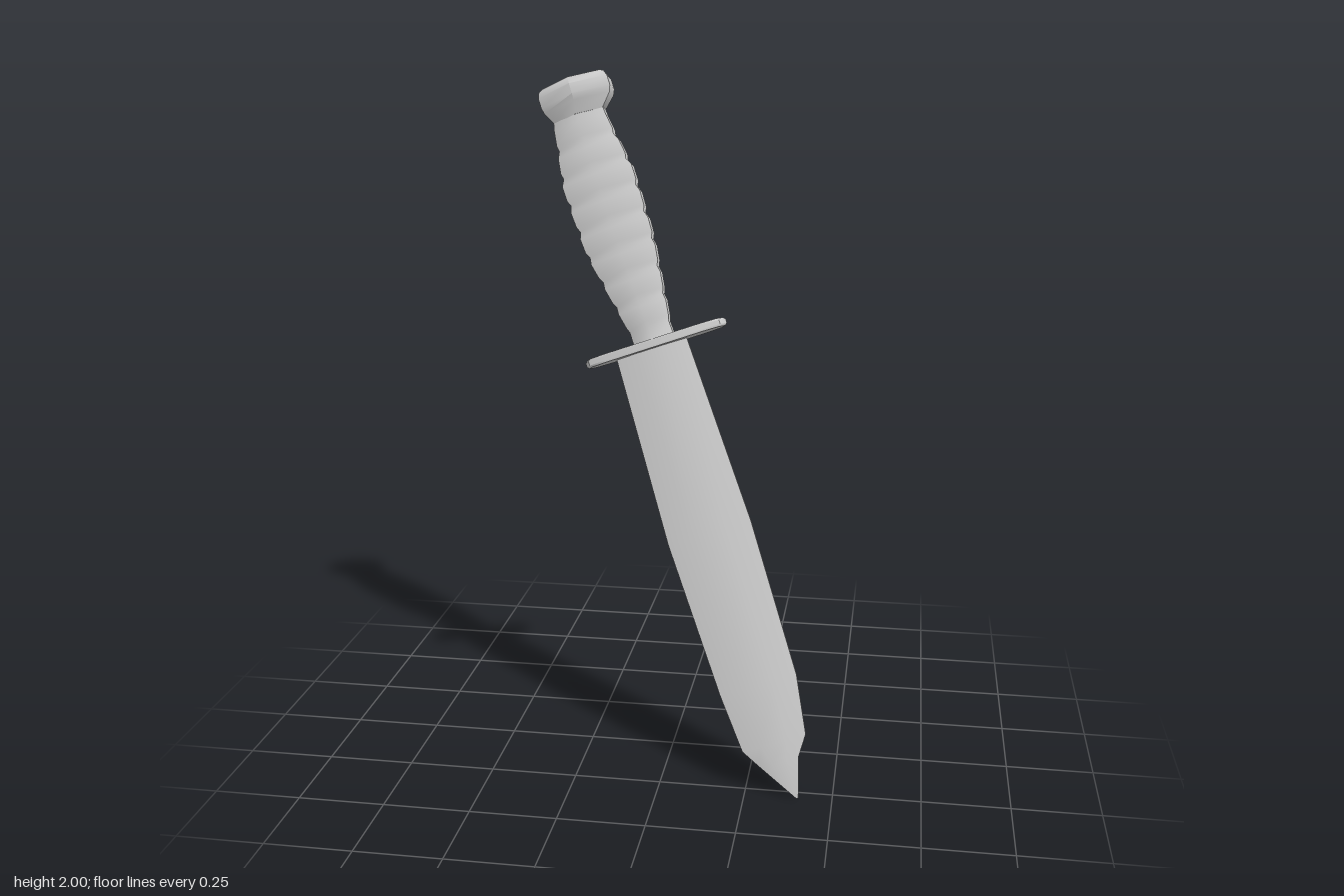
import * as THREE from 'three';
import { toCreasedNormals } from 'three/addons/utils/BufferGeometryUtils.js';

const material = new THREE.MeshStandardMaterial({ color: 0xcccccc });

// Skin a stack of closed rings (bottom to top) and cap both ends.
function loft(rings, crease) {
  const n = rings[0].length;
  const pos = rings.flat(2);
  const index = [];
  for (let r = 0; r < rings.length - 1; r++) {
    for (let i = 0; i < n; i++) {
      const j = (i + 1) % n;
      const a = r * n + i, b = r * n + j;
      index.push(a, a + n, b, b, a + n, b + n);
    }
  }
  const last = (rings.length - 1) * n;
  for (let i = 1; i < n - 1; i++) {
    index.push(0, i, i + 1);
    index.push(last, last + i + 1, last + i);
  }
  const g = new THREE.BufferGeometry();
  g.setAttribute('position', new THREE.Float32BufferAttribute(pos, 3));
  g.setIndex(index);
  return toCreasedNormals(g, crease);
}

// Stretched hexagon with points on the two broad sides.
function hexRing(y, cx, hx, hz) {
  const k = 0.42 * hz;
  return [[hx, k], [0, hz], [-hx, k], [-hx, -k], [0, -hz], [hx, -k]]
    .map(([x, z]) => [cx + x, y, z]);
}

// Linear lookup in rows of [y, ...values].
function sample(rows, y) {
  let i = 0;
  while (i < rows.length - 2 && y > rows[i + 1][0]) i++;
  const t = (y - rows[i][0]) / (rows[i + 1][0] - rows[i][0]);
  return rows[i].map((v, k) => THREE.MathUtils.lerp(v, rows[i + 1][k], t));
}

function add(parent, name, geometry) {
  const mesh = new THREE.Mesh(geometry, material);
  mesh.name = name;
  parent.add(mesh);
}

export function createModel() {
  const knife = new THREE.Group();
  knife.name = 'knife';

  // Blade: bevelled section; rows are y, one edge, other edge, half thickness.
  const bladeRows = [
    [-1.358, 0.002, 0.008, 0.002],
    [-1.245, -0.072, 0.044, 0.011],
    [-1.19, -0.107, 0.082, 0.013],
    [-1.02, -0.121, 0.107, 0.015],
    [-0.565, -0.137, 0.112, 0.015],
    [0, -0.122, 0.09, 0.015],
  ];
  const blade = bladeRows.map(([y, l, r, t]) => {
    const at = (f) => l + (r - l) * f;
    return [[r, 0.003], [at(0.7), t], [at(0.3), t], [l, 0.003],
      [l, -0.003], [at(0.3), -t], [at(0.7), -t], [r, -0.003]]
      .map(([x, z]) => [x, y, Math.sign(z) * Math.min(Math.abs(z), t)]);
  });
  add(knife, 'blade', loft(blade, 0.7));

  // Guard: long plate with faceted round ends.
  const end = [[0.15, -0.049], [0.197, -0.035], [0.213, 0], [0.197, 0.035], [0.15, 0.049]];
  const outline = [...end, ...end.map(([x, z]) => [-x, -z])];
  const guard = [[-0.012, 0.97], [-0.006, 1], [0.006, 1], [0.012, 0.97]]
    .map(([y, s]) => outline.map(([x, z]) => [x * s, y, z * s]));
  add(knife, 'guard', loft(guard, 0.8));

  // Grip: swelling hexagonal handle cut by stepped grooves.
  const gripRows = [
    [0, 0, 0.06, 0.045],
    [0.06, -0.002, 0.063, 0.046],
    [0.3, -0.014, 0.101, 0.051],
    [0.5, -0.018, 0.106, 0.053],
    [0.7, -0.02, 0.073, 0.054],
    [0.74, -0.014, 0.068, 0.053],
  ];
  const grip = [hexRing(...gripRows[0])];
  const ribs = 8, start = 0.05, pitch = 0.08;
  for (let i = 0; i < ribs; i++) {
    for (const [f, s] of [[0, 0.94], [0.2, 1], [0.75, 1.01]]) {
      const [y, cx, hx, hz] = sample(gripRows, start + (i + f) * pitch);
      grip.push(hexRing(y, cx, hx * s, hz * s));
    }
  }
  grip.push(hexRing(...gripRows[5]));
  add(knife, 'grip', loft(grip, 0.9));

  // Pommel: flared hexagonal cap with softened rims.
  const pommel = [
    [0.69, -0.018, 0.074, 0.055],
    [0.725, -0.01, 0.1, 0.074],
    [0.742, -0.008, 0.105, 0.083],
    [0.772, -0.008, 0.105, 0.083],
    [0.788, -0.008, 0.099, 0.076],
    [0.795, -0.008, 0.088, 0.066],
  ].map((row) => hexRing(...row));
  add(knife, 'pommel', loft(pommel, 0.9));

  // Lean the knife: columns are blade width, long axis and thickness.
  const axis = new THREE.Vector3(-0.333, 0.9135, -0.233).normalize();
  const thick = new THREE.Vector3(0, 0.247, 0.969).normalize();
  const wide = new THREE.Vector3().crossVectors(axis, thick).normalize();
  knife.quaternion.setFromRotationMatrix(new THREE.Matrix4().makeBasis(wide, axis, thick));
  knife.position.set(-0.055, 1.24, -0.03);

  const model = new THREE.Group();
  model.name = 'leaningKnife';
  model.add(knife);
  return model;
}
